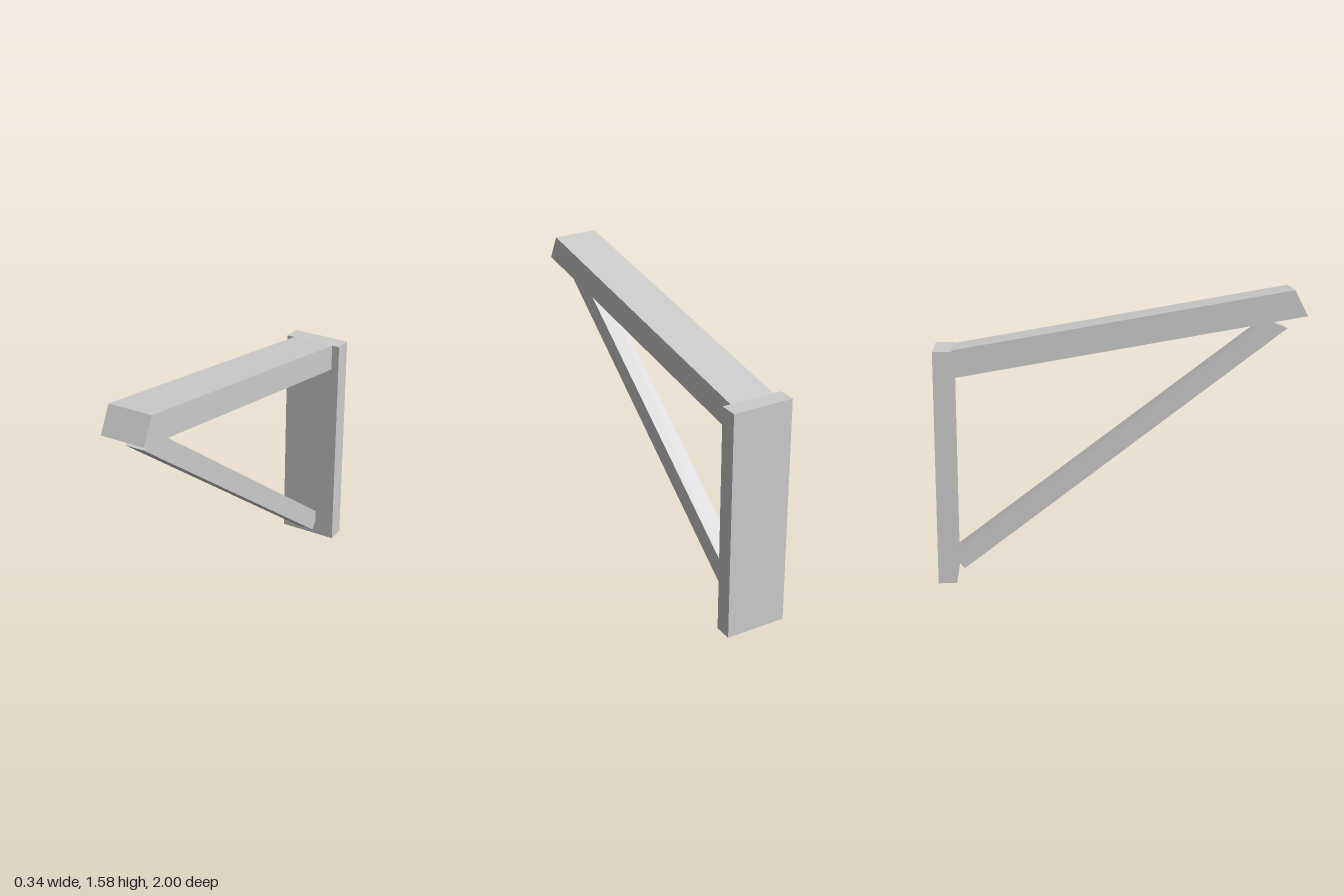
import * as THREE from 'three';

export function createModel() {
  const group = new THREE.Group();
  const grey = new THREE.MeshStandardMaterial({ color: 0xcccccc });
  grey.name = 'light grey';

  // Side profile in (z, y), extruded symmetrically across x
  function addBeam(name, width, profile) {
    const shape = new THREE.Shape(profile.map(([z, y]) => new THREE.Vector2(z, y)));
    const geometry = new THREE.ExtrudeGeometry(shape, { depth: width, bevelEnabled: false });
    geometry.translate(0, 0, -width / 2);
    geometry.rotateY(-Math.PI / 2);
    const mesh = new THREE.Mesh(geometry, grey);
    mesh.name = name;
    group.add(mesh);
  }

  // Upright plate fixed to the wall
  addBeam('wallPlate', 0.34, [[-1, 0], [-0.9, 0], [-0.9, 1.275], [-1, 1.275]]);

  // Sloping arm, butted against the plate
  addBeam('supportArm', 0.25, [[-0.9, 1.125], [1, 1.44], [0.928, 1.58], [-0.9, 1.275]]);

  // Diagonal brace with its lower corner trimmed by the plate
  addBeam('diagonalBrace', 0.106, [
    [-0.9, 0.09], [-0.862, 0.045], [0.904, 1.365], [0.8, 1.408], [0.775, 1.403], [-0.9, 0.157],
  ]);

  return group;
}
